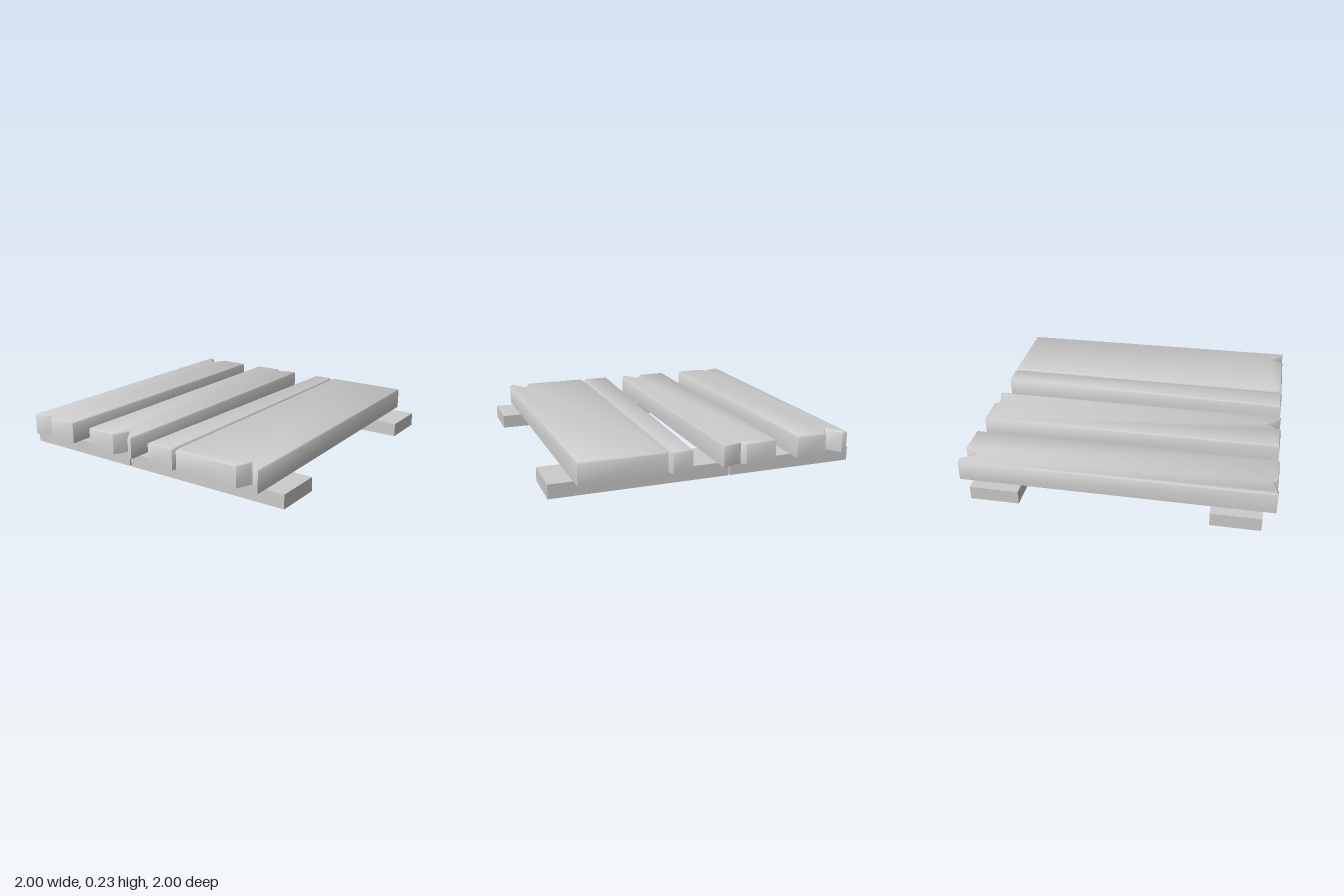
import * as THREE from 'three';
import { toCreasedNormals } from 'three/addons/utils/BufferGeometryUtils.js';

const material = new THREE.MeshStandardMaterial({ color: 0xcccccc, side: THREE.DoubleSide });

// Move every corner of a counter-clockwise outline inwards by d
function inset(points, d) {
  const n = points.length;
  const normal = (a, b) => new THREE.Vector2(a.y - b.y, b.x - a.x).normalize();
  return points.map((p, i) => {
    const n1 = normal(points[(i + n - 1) % n], p);
    const n2 = normal(p, points[(i + 1) % n]);
    const k = d / Math.max(0.4, 1 + n1.dot(n2));
    return p.clone().add(n1.add(n2).multiplyScalar(k));
  });
}

// Hollow board with an open underside: walls, an eased top edge and a top face.
// The outline is a list of [x, z] corners.
function board(name, outline, y0, y1, bevel) {
  let points = outline.map(([x, z]) => new THREE.Vector2(x, -z));
  if (THREE.ShapeUtils.isClockWise(points)) points.reverse();
  const rings = [[points, y0], [points, y1 - bevel]];
  if (bevel > 0) rings.push([inset(points, bevel), y1]);

  const pos = [];
  const put = (p, y) => pos.push(p.x, y, -p.y);
  for (let r = 0; r < rings.length - 1; r++) {
    const [low, yl] = rings[r];
    const [high, yh] = rings[r + 1];
    for (let i = 0; i < low.length; i++) {
      const j = (i + 1) % low.length;
      put(low[i], yl); put(low[j], yl); put(high[j], yh);
      put(low[i], yl); put(high[j], yh); put(high[i], yh);
    }
  }
  const cap = rings[rings.length - 1][0];
  for (const face of THREE.ShapeUtils.triangulateShape(cap, [])) {
    for (const i of face) put(cap[i], y1);
  }
  const geometry = new THREE.BufferGeometry();
  geometry.setAttribute('position', new THREE.Float32BufferAttribute(pos, 3));
  const mesh = new THREE.Mesh(toCreasedNormals(geometry, 0.9), material);
  mesh.name = name;
  return mesh;
}

export function createModel() {
  const group = new THREE.Group();
  group.name = 'woodenPallet';
  const floor = 0.09, top = 0.23, bevel = 0.008;

  // Two runners, each cracked across behind the middle
  for (const [side, x0, x1] of [['right', -0.92, -0.605], ['left', 0.595, 0.91]]) {
    group.add(board(side + 'RunnerFront',
      [[x0, 1], [x1, 1], [x1, -0.142], [(x0 + x1) / 2, -0.152], [x0, -0.142]], 0, floor, 0));
    group.add(board(side + 'RunnerBack',
      [[x0, -1], [x1, -1], [x1, -0.152], [(x0 + x1) / 2, -0.162], [x0, -0.152]], 0, floor, 0));
  }

  // Planks with splintered notches in their ends
  const planks = {
    backPlank: [
      [-1, -0.93], [1, -0.93], [1, -0.895], [0.895, -0.83], [1, -0.775],
      [1, -0.575], [-1, -0.575], [-1, -0.78], [-0.967, -0.8], [-1, -0.89]],
    middlePlank: [
      [-1, -0.42], [1, -0.42], [1, -0.22], [0.965, -0.195], [1, -0.085],
      [1, -0.065], [-1, -0.065], [-1, -0.09], [-0.9, -0.165], [-1, -0.215]],
    narrowPlank: [
      [-1, 0.075], [1, 0.135], [1, 0.262], [0.96, 0.273],
      [-0.96, 0.273], [-1, 0.262]],
    frontPlank: [
      [-1, 0.294], [-0.96, 0.285], [0.96, 0.285], [1, 0.294], [1, 0.845],
      [-1, 0.875], [-1, 0.845], [-0.905, 0.775], [-1, 0.73]],
  };
  for (const [name, outline] of Object.entries(planks)) {
    group.add(board(name, outline, floor, top, bevel));
  }

  // Floor of the split between the narrow and front planks
  const split = new THREE.Mesh(new THREE.PlaneGeometry(1.92, 0.012), material);
  split.name = 'splitFloor';
  split.rotation.x = -Math.PI / 2;
  split.position.set(0, 0.12, 0.279);
  group.add(split);

  return group;
}
